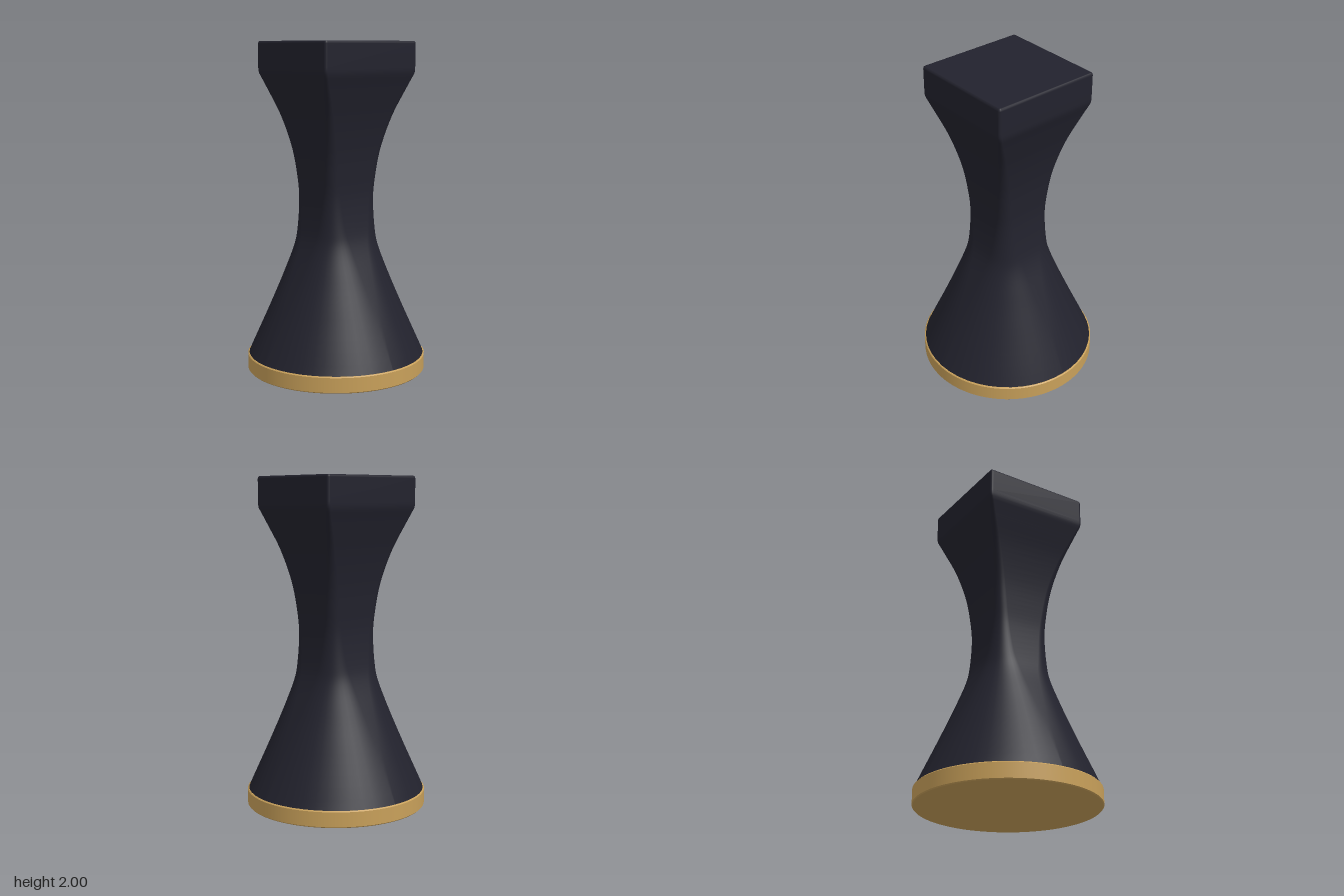
import * as THREE from 'three';

const CORNER = 12; // segments per rounded corner

// Rounded-square outline: half width h, corner radius r (r = h gives a circle)
function ring(h, y, r) {
  const pts = [];
  for (let q = 0; q < 4; q++) {
    const mid = (q + 0.5) * Math.PI / 2;
    const cx = Math.sign(Math.cos(mid)) * (h - r);
    const cz = Math.sign(Math.sin(mid)) * (h - r);
    for (let k = 0; k <= CORNER; k++) {
      const a = (q + k / CORNER) * Math.PI / 2;
      pts.push(cx + r * Math.cos(a), y, cz + r * Math.sin(a));
    }
  }
  return pts;
}

// Smooth skin over a stack of outlines, bottom to top
function loft(sections) {
  const n = 4 * (CORNER + 1);
  const positions = sections.flatMap(([h, y, r]) => ring(h, y, r));
  const index = [];
  for (let i = 0; i < sections.length - 1; i++) {
    for (let j = 0; j < n; j++) {
      const a = i * n + j, b = i * n + (j + 1) % n;
      index.push(a, a + n, b, b, a + n, b + n);
    }
  }
  return toGeometry(positions, index);
}

// Flat lid filling one outline, facing up
function lid(h, y, r) {
  const n = 4 * (CORNER + 1);
  const index = [];
  for (let j = 0; j < n; j++) index.push(n, (j + 1) % n, j);
  return toGeometry([...ring(h, y, r), 0, y, 0], index);
}

function toGeometry(positions, index) {
  const g = new THREE.BufferGeometry();
  g.setAttribute('position', new THREE.Float32BufferAttribute(positions, 3));
  g.setIndex(index);
  g.computeVertexNormals();
  return g;
}

export function createModel() {
  const model = new THREE.Group();
  const dark = new THREE.MeshStandardMaterial({ name: 'dark handle', color: 0x22222d });
  const gold = new THREE.MeshStandardMaterial({ name: 'gold base', color: 0xc8a05a });
  const add = (name, geometry, material) => {
    const mesh = new THREE.Mesh(geometry, material);
    mesh.name = name;
    model.add(mesh);
  };

  // Waisted handle: half width, height and corner roundness (1 = circle)
  const profile = [
    [0.541, 0.095, 1], [0.396, 0.4, 0.95], [0.303, 0.6, 0.87], [0.23, 0.77, 0.73],
    [0.201, 0.88, 0.58], [0.182, 1.07, 0.41], [0.187, 1.2, 0.33], [0.205, 1.36, 0.25],
    [0.25, 1.56, 0.15], [0.3, 1.71, 0.08], [0.336, 1.81, 0.05],
  ];
  const curve = new THREE.CatmullRomCurve3(profile.map((p) => new THREE.Vector3(...p)));
  const sections = curve.getPoints(50).map((p) => [p.x, p.y, p.x * Math.min(1, p.z)]);
  // Straight square head with softened top edge
  sections.push([0.339, 1.83, 0.016], [0.339, 1.85, 0.016], [0.339, 1.985, 0.016],
    [0.337, 1.993, 0.014], [0.332, 1.999, 0.01], [0.329, 2, 0.008]);
  add('handle', loft(sections), dark);
  add('handleTop', lid(0.329, 2, 0.008), dark);

  // Round base disc with slightly eased edges
  const disc = [[0, 0], [0.541, 0], [0.547, 0.006], [0.547, 0.094], [0.541, 0.1], [0.5, 0.1]];
  for (let i = 0; i < disc.length - 1; i++) {
    const part = disc.slice(i, i + 2).map(([x, y]) => new THREE.Vector2(x, y));
    add('baseDisc' + (i + 1), new THREE.LatheGeometry(part, 96), gold);
  }
  return model;
}
